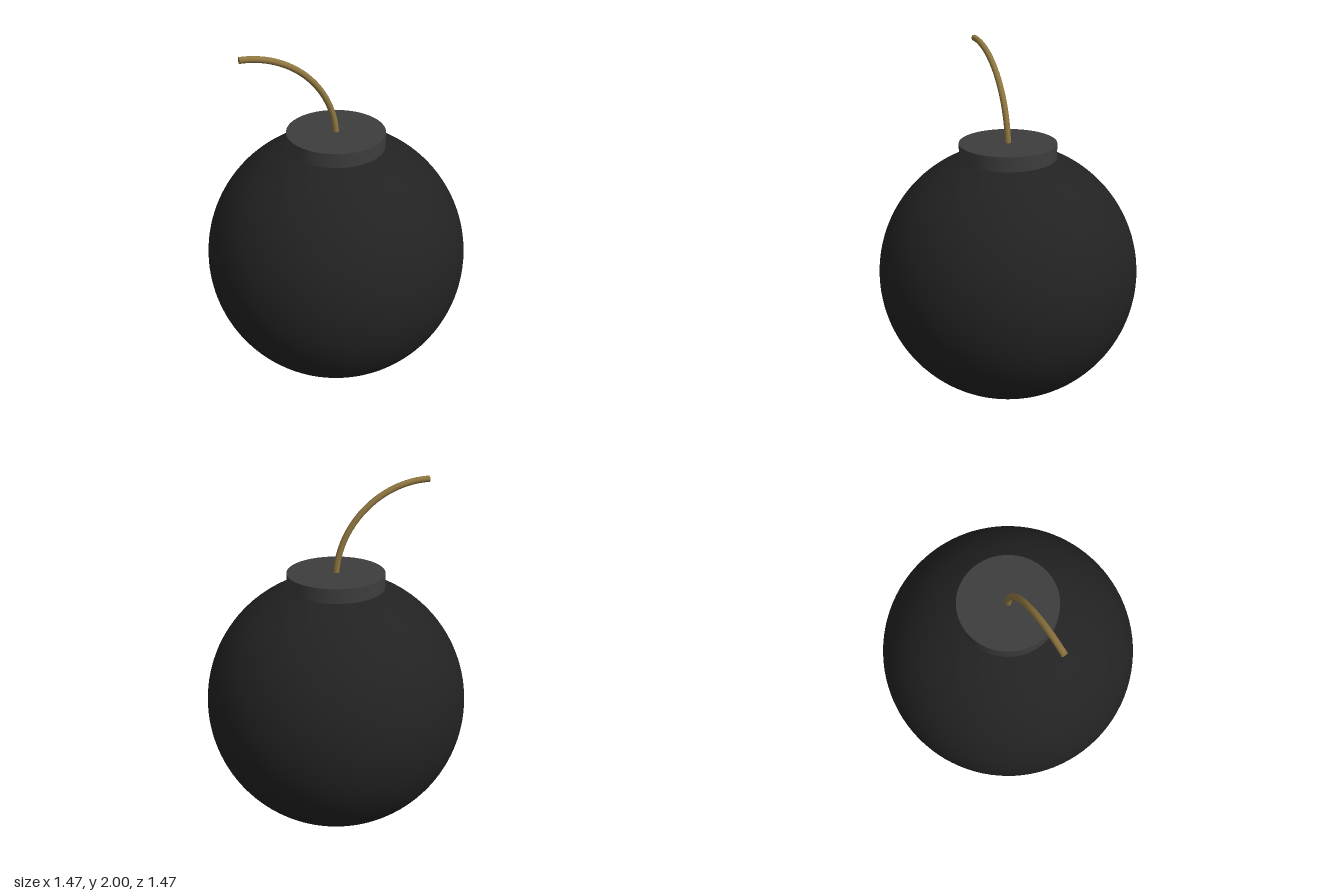
import * as THREE from 'three';

const BODY_RADIUS = 0.735;
const CAP_RADIUS = 0.27;
const CAP_BOTTOM = 1.42;
const CAP_TOP = 1.5;
const FUSE_BEND = 0.52;
const FUSE_RADIUS = 0.017;

// Quarter circle rising from the cap and bending over to -x
class FuseCurve extends THREE.Curve {
  getPoint(t, target = new THREE.Vector3()) {
    const a = t * Math.PI / 2;
    return target.set(FUSE_BEND * (Math.cos(a) - 1), 1.463 + FUSE_BEND * Math.sin(a), 0);
  }
}

export function createModel() {
  const model = new THREE.Group();
  model.name = 'roundBomb';

  function add(name, geometry, color, parent = model) {
    const mesh = new THREE.Mesh(geometry, new THREE.MeshStandardMaterial({ color }));
    mesh.name = name;
    parent.add(mesh);
    return mesh;
  }

  // Round body
  add('body', new THREE.SphereGeometry(BODY_RADIUS, 96, 64), 0x222222).position.y = BODY_RADIUS;

  // Flat collar, sunk a little into the body
  const height = CAP_TOP - CAP_BOTTOM + 0.02;
  add('cap', new THREE.CylinderGeometry(CAP_RADIUS, CAP_RADIUS, height, 96), 0x3d3d3d)
    .position.y = CAP_TOP - height / 2;

  // Curved fuse with a closed tip
  const fuse = new THREE.Group();
  fuse.name = 'fuse';
  model.add(fuse);
  const curve = new FuseCurve();
  const fuseColor = 0x8f7640;
  add('fuseCord', new THREE.TubeGeometry(curve, 48, FUSE_RADIUS, 20, false), fuseColor, fuse);
  const tip = add('fuseTip', new THREE.CircleGeometry(FUSE_RADIUS, 20), fuseColor, fuse);
  tip.position.copy(curve.getPoint(1));
  tip.rotation.y = -Math.PI / 2;

  return model;
}
